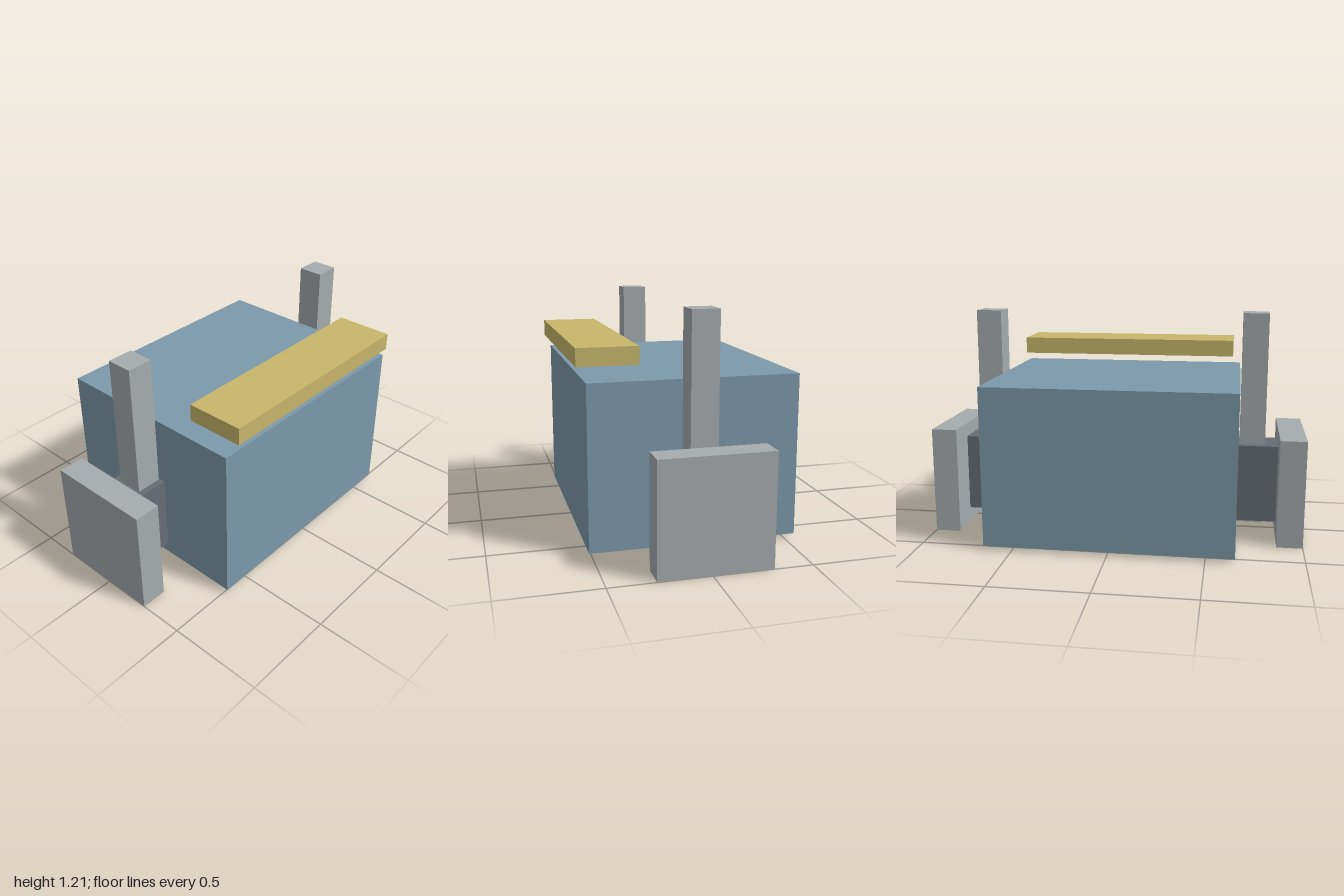
import * as THREE from 'three';

const paint = (name, color) => {
  const m = new THREE.MeshStandardMaterial({ color });
  m.name = name;
  return m;
};

export function createModel() {
  const model = new THREE.Group();
  model.name = 'model';
  const blue = paint('dusty blue', 0x7c99ab);
  const grey = paint('light grey', 0xa6abae);
  const dark = paint('dark grey', 0x666d73);
  const gold = paint('muted gold', 0xc8b66b);

  // Box given by its two extreme corners
  const block = (name, material, [x0, y0, z0], [x1, y1, z1], parent = model) => {
    const mesh = new THREE.Mesh(new THREE.BoxGeometry(x1 - x0, y1 - y0, z1 - z0), material);
    mesh.position.set((x0 + x1) / 2, (y0 + y1) / 2, (z0 + z1) / 2);
    mesh.name = name;
    parent.add(mesh);
  };

  // Main body and the bar floating above its front edge
  block('body', blue, [-0.65, 0.02, -0.555], [0.65, 0.86, 0.515]);
  block('frontBar', gold, [-0.607, 0.93, 0.25], [0.607, 1.02, 0.555]);

  // Side assemblies: bracket, upright post running through it, outer plate
  for (const side of [1, -1]) {
    const group = new THREE.Group();
    group.name = side > 0 ? 'leftSide' : 'rightSide';
    const part = (name, material, [x0, y0, z0], [x1, y1, z1]) =>
      block(name, material,
        [Math.min(side * x0, side * x1), y0, z0],
        [Math.max(side * x0, side * x1), y1, z1], group);
    part('bracket', dark, [0.648, 0.08, -0.128], [0.865, 0.5, 0.085]);
    part('post', grey, [0.657, 0.06, -0.088], [0.793, 1.205, 0.05]);
    part('outerPlate', grey, [0.863, 0, -0.304], [1, 0.575, 0.266]);
    model.add(group);
  }
  return model;
}
